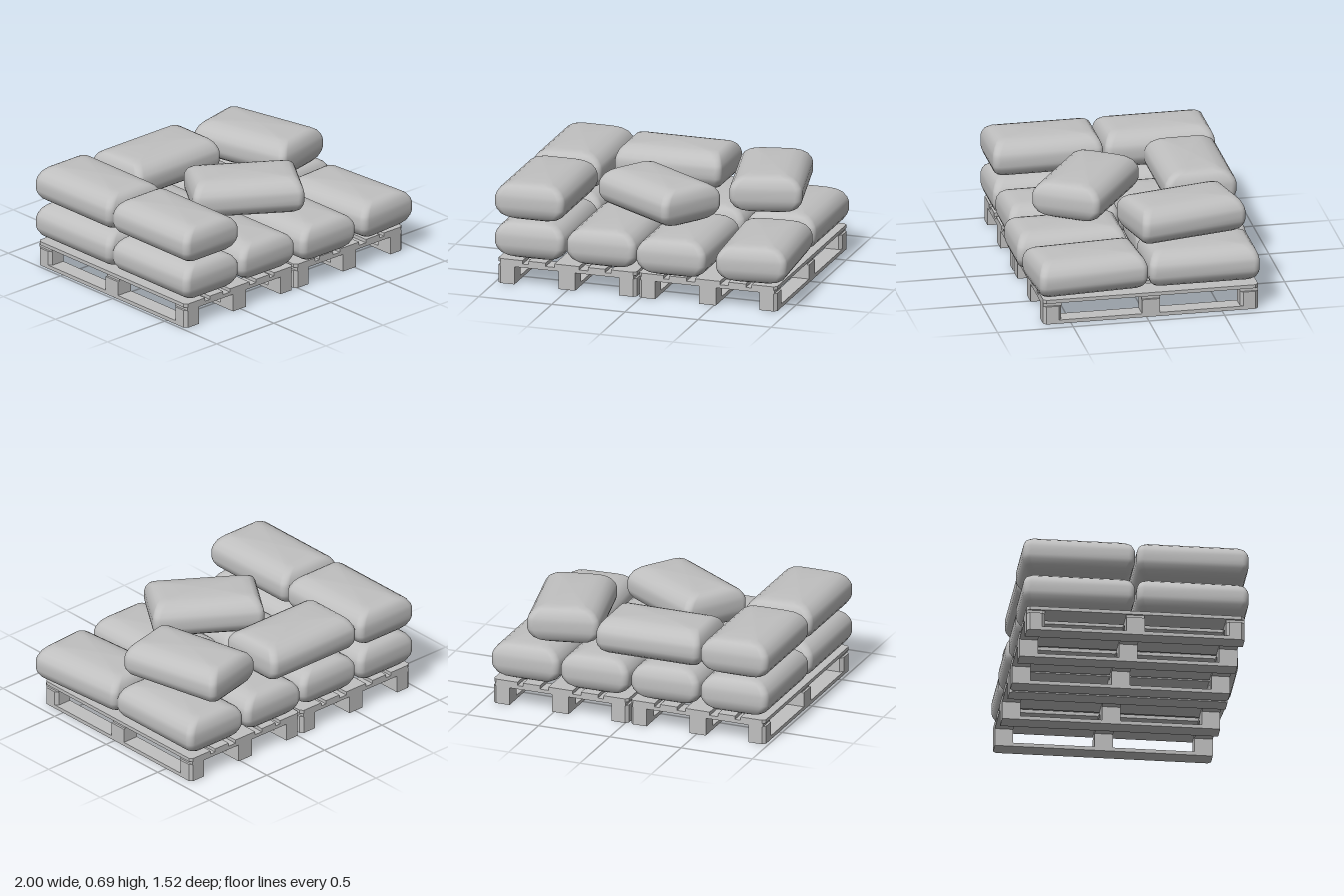
import * as THREE from 'three';

const grey = new THREE.MeshStandardMaterial({ color: 0xc0c0c0 });
grey.name = 'plain grey';

function addMesh(parent, geometry, name, x, y, z) {
  const mesh = new THREE.Mesh(geometry, grey);
  mesh.name = name;
  mesh.position.set(x, y, z);
  parent.add(mesh);
  return mesh;
}

// Filled sack: rounded rectangles stacked along a pillow profile
function sackGeometry(width = 0.475, length = 0.73) {
  // [inset amount, height, scale toward the middle], from the waist up
  const upper = [
    [0, 0.03, 1], [0.08, 0.055, 1], [0.3, 0.087, 1], [0.62, 0.108, 1],
    [1, 0.12, 1], [1, 0.125, 0.84], [1, 0.13, 0.5], [1, 0.132, 0],
  ];
  const lower = upper.map(([f, y, s]) => [f, -y, s]).reverse();
  const rings = [...lower, [0, 0, 1], ...upper];
  const radius = 0.045, arc = 6, count = 4 * (arc + 1);
  const positions = [], index = [];
  for (const [f, y, s] of rings) {
    const hx = width / 2 - 0.1 * f - radius;
    const hz = length / 2 - 0.06 * f - radius;
    for (let corner = 0; corner < 4; corner++) {
      const sx = corner === 0 || corner === 3 ? 1 : -1;
      const sz = corner < 2 ? 1 : -1;
      for (let i = 0; i <= arc; i++) {
        const a = (corner + i / arc) * Math.PI / 2;
        positions.push(s * (sx * hx + radius * Math.cos(a)), y, s * (sz * hz + radius * Math.sin(a)));
      }
    }
  }
  for (let r = 0; r < rings.length - 1; r++) {
    for (let i = 0; i < count; i++) {
      const a = r * count + i, b = r * count + (i + 1) % count;
      index.push(a, a + count, b, b, a + count, b + count);
    }
  }
  const geometry = new THREE.BufferGeometry();
  geometry.setAttribute('position', new THREE.Float32BufferAttribute(positions, 3));
  geometry.setIndex(index);
  geometry.computeVertexNormals();
  return geometry;
}

// Upright slab with the two corners on one side (+1 or -1) cut off
function chamferedSlab(width, height, depth, side) {
  const x = side * width / 2, z = depth / 2, c = 0.02;
  const shape = new THREE.Shape([
    [-x, -z], [x - side * c, -z], [x, -z + c], [x, z - c], [x - side * c, z], [-x, z],
  ].map(([px, pz]) => new THREE.Vector2(px, pz)));
  const geometry = new THREE.ExtrudeGeometry(shape, { depth: height, bevelEnabled: false });
  geometry.rotateX(-Math.PI / 2);
  geometry.translate(0, -height / 2, 0);
  return geometry;
}

function makePallet(centreX) {
  const pallet = new THREE.Group();
  pallet.name = 'pallet';
  pallet.position.set(centreX, 0, -0.03);
  const length = 1.42, width = 0.945;
  const slab = (w, h, d, side) =>
    side ? chamferedSlab(w, h, d, side) : new THREE.BoxGeometry(w, h, d);

  // Three runners, each carrying three blocks
  for (const side of [-1, 0, 1]) {
    const x = side * (width - 0.115) / 2;
    addMesh(pallet, slab(0.115, 0.025, length, side), 'runner', x, 0.0125, 0);
    for (const end of [-1, 0, 1]) {
      addMesh(pallet, slab(0.115, 0.096, 0.12, end ? side : 0), 'block',
        x, 0.073, end * (length - 0.12) / 2);
    }
  }
  // Cross boards
  for (const end of [-1, 0, 1]) {
    addMesh(pallet, new THREE.BoxGeometry(width - 0.03, 0.024, 0.12), 'crossBoard',
      0, 0.132, end * (length - 0.12) / 2);
  }
  // Deck boards, alternating wide and narrow
  const deck = [[-0.387, 0.17, -1], [-0.203, 0.118, 0], [0, 0.17, 0], [0.203, 0.118, 0], [0.387, 0.17, 1]];
  for (const [x, w, side] of deck) {
    addMesh(pallet, slab(w, 0.024, length, side), 'deckBoard', x, 0.155, 0);
  }
  return pallet;
}

export function createModel() {
  const model = new THREE.Group();
  model.name = 'loadedPallets';
  model.add(makePallet(-0.507), makePallet(0.455));

  const geometry = sackGeometry();
  const layers = [
    // lower layer: x, z, turn
    { name: 'lowerSack', y: 0.3, sacks: [
      [-0.762, -0.397, 0], [-0.272, -0.387, 0], [0.218, -0.397, 0], [0.708, -0.387, 0],
      [-0.762, 0.343, 0], [-0.272, 0.343, 0], [0.22, 0.388, 0], [0.735, 0.365, 0.075],
    ] },
    // upper layer, loosely thrown on
    { name: 'upperSack', y: 0.56, sacks: [
      [-0.762, -0.397, 0], [-0.762, 0.343, 0], [-0.15, -0.512, Math.PI / 2],
      [-0.035, 0.205, 0.98], [0.555, -0.305, 0.22],
    ] },
  ];
  for (const { name, y, sacks } of layers) {
    for (const [x, z, turn] of sacks) {
      addMesh(model, geometry, name, x, y, z).rotation.y = turn;
    }
  }
  return model;
}
